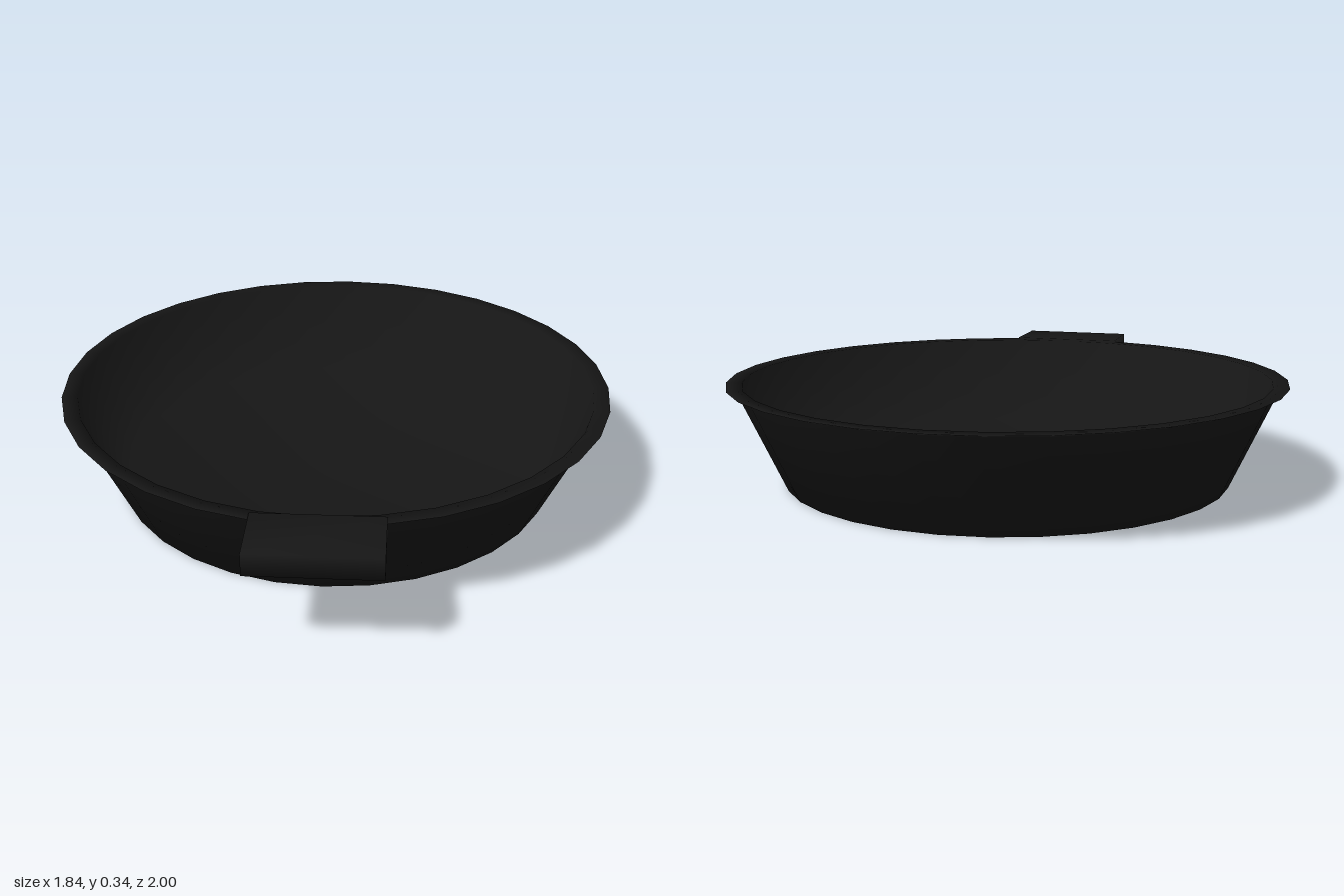
import * as THREE from 'three';
import { mergeVertices } from 'three/addons/utils/BufferGeometryUtils.js';

export function createModel() {
  const model = new THREE.Group();
  model.name = 'pan';
  const iron = new THREE.MeshStandardMaterial({ color: 0x161616 });
  iron.name = 'black iron';

  // Hollow body: base, outer wall, thin flared lip, inner wall, floor
  const profile = [
    [0, 0], [0.738, 0], [0.885, 0.32], [0.92, 0.331],
    [0.868, 0.331], [0.72, 0.04], [0, 0.04],
  ].map(([r, y]) => new THREE.Vector2(r, y));
  const body = new THREE.Mesh(new THREE.LatheGeometry(profile, 32), iron);
  body.name = 'panBody';
  body.position.z = -0.08;
  model.add(body);

  // Short grip block at the front, with soft shading across its corners
  const box = new THREE.BoxGeometry(0.39, 0.07, 0.21);
  box.deleteAttribute('normal');
  box.deleteAttribute('uv');
  const gripGeometry = mergeVertices(box);
  gripGeometry.computeVertexNormals();
  const grip = new THREE.Mesh(gripGeometry, iron);
  grip.name = 'handle';
  grip.position.set(0, 0.303, 0.895);
  model.add(grip);

  return model;
}
